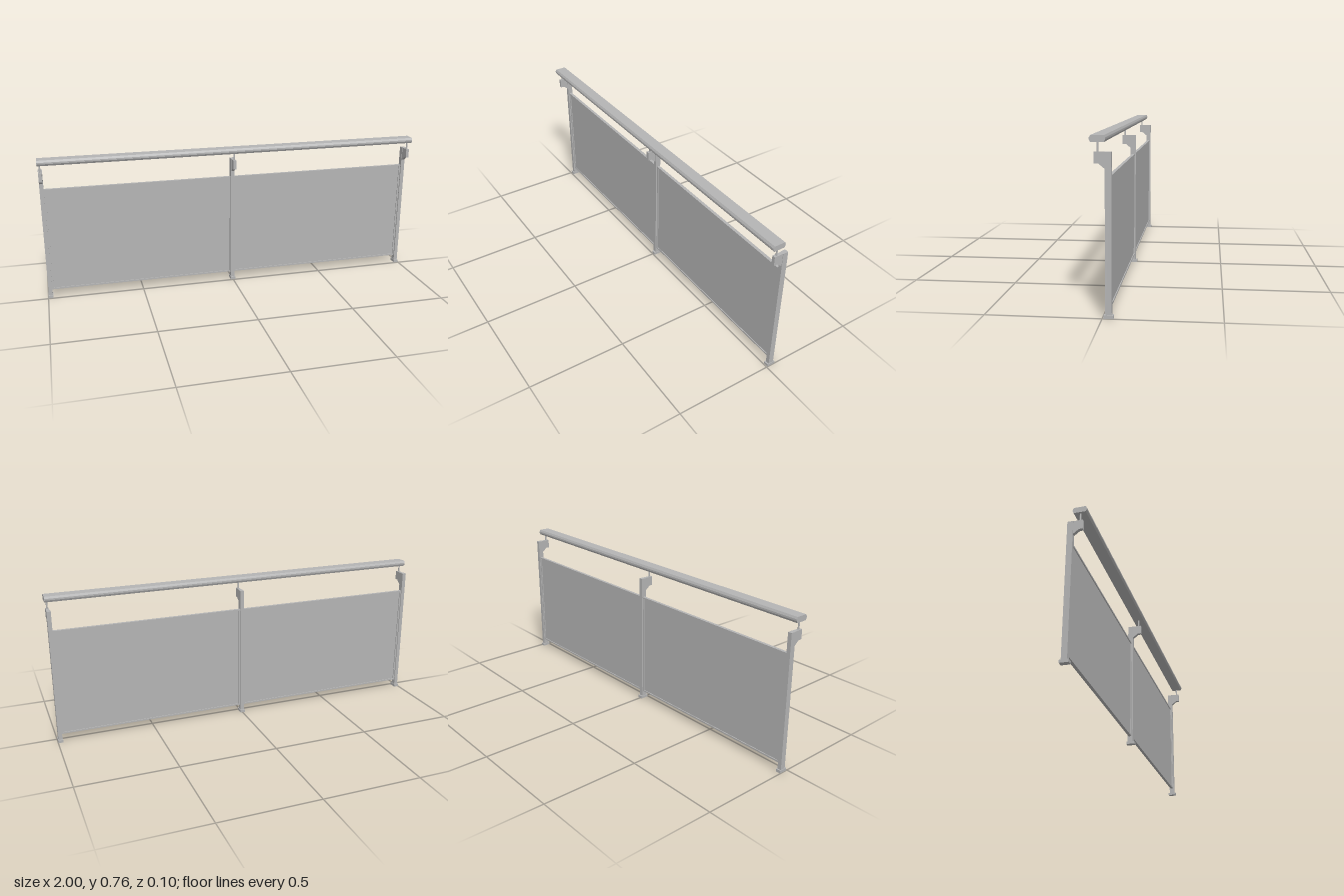
import * as THREE from 'three';

export function createModel() {
  const model = new THREE.Group();
  const metal = new THREE.MeshStandardMaterial({ color: 0xb4b4b4 });
  metal.name = 'grey metal';

  const add = (parent, name, geometry, x = 0, y = 0, z = 0) => {
    const mesh = new THREE.Mesh(geometry, metal);
    mesh.name = name;
    mesh.position.set(x, y, z);
    parent.add(mesh);
  };
  const box = (parent, name, w, h, d, x, y, z) =>
    add(parent, name, new THREE.BoxGeometry(w, h, d), x, y, z);

  // Extrudes a [z, y] side profile along x, centred on x = 0
  const extrudeSide = (points, width) => {
    const shape = new THREE.Shape(points.map(([z, y]) => new THREE.Vector2(-z, y)));
    return new THREE.ExtrudeGeometry(shape, { depth: width, bevelEnabled: false })
      .translate(0, 0, -width / 2).rotateY(Math.PI / 2);
  };

  // Handrail with bevelled edges
  add(model, 'handrail', extrudeSide([
    [0.044, 0.757], [-0.011, 0.757], [-0.016, 0.747], [-0.016, 0.739],
    [-0.011, 0.729], [0.044, 0.729], [0.05, 0.739], [0.05, 0.747],
  ], 2));

  // Posts with foot plate, forward bracket and rail support
  const bracket = extrudeSide([
    [-0.02, 0.69], [0.032, 0.69], [0.032, 0.643], [0.014, 0.643], [-0.012, 0.622], [-0.02, 0.622],
  ], 0.016);
  for (const x of [-0.987, 0, 0.987]) {
    const post = new THREE.Group();
    post.name = 'post';
    post.position.x = x;
    box(post, 'upright', 0.02, 0.68, 0.027, 0, 0.35, -0.0265);
    box(post, 'footPlate', 0.025, 0.014, 0.042, 0, 0.007, -0.026);
    add(post, 'bracket', bracket);
    add(post, 'railSupport', new THREE.CylinderGeometry(0.004, 0.004, 0.05, 12), 0, 0.71, 0.017);
    model.add(post);
  }

  // Infill panels held in slim frames between the posts
  const width = 0.967, z = -0.0275;
  for (const side of [-1, 1]) {
    const panel = new THREE.Group();
    panel.name = 'infillPanel';
    panel.position.set(side * 0.4935, 0, z);
    box(panel, 'sheet', width, 0.54, 0.006, 0, 0.316, 0);
    for (const y of [0.046, 0.586]) box(panel, 'frameRail', width, 0.008, 0.015, 0, y, 0);
    for (const s of [-1, 1]) box(panel, 'frameStile', 0.008, 0.54, 0.015, s * (width / 2 - 0.004), 0.316, 0);
    model.add(panel);
  }
  return model;
}
